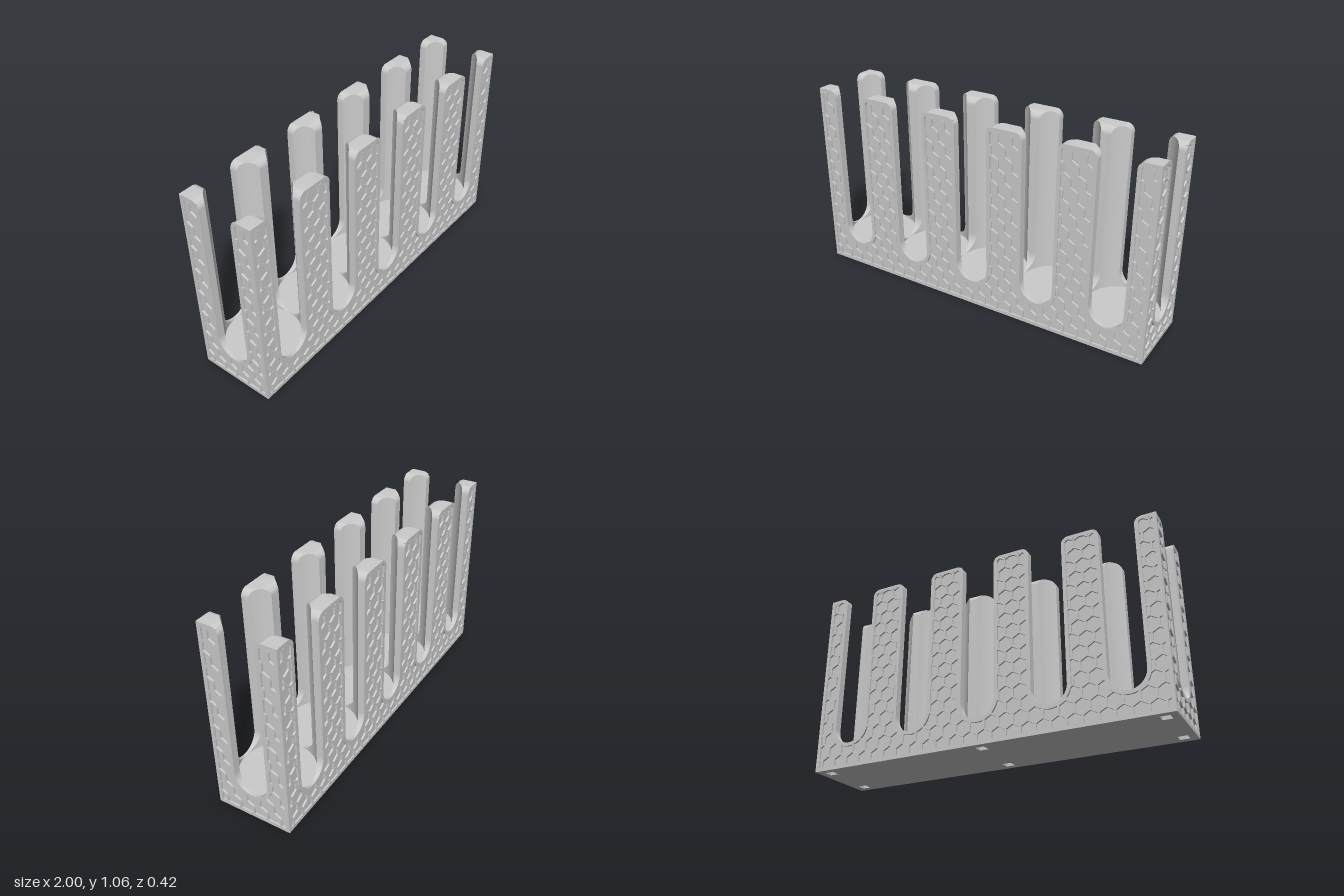
import * as THREE from 'three';
import { mergeGeometries, toCreasedNormals } from 'three/addons/utils/BufferGeometryUtils.js';

const TOP = 1.06, FLOOR = 0.14, HALF_X = 1, HALF_Z = 0.21;
const BORE = 0.195, PITCH = 0.395, SLOT = 0.095, SLOT_Y = FLOOR + SLOT, ROUND = 0.04;
const RELIEF = 0.01, FRAME = 0.02, HEX = 0.08, RIB = 0.01;
const centres = [-2, -1, 0, 1, 2].map((i) => i * PITCH);
const material = new THREE.MeshStandardMaterial({ color: 0xcccccc });

function add(parent, name, geometry) {
  const mesh = new THREE.Mesh(geometry, material);
  mesh.name = name;
  parent.add(mesh);
  return mesh;
}

// Slot half width at each height: round bottom, straight sides, rounded mouth
function slotLevels() {
  const levels = [];
  for (let i = 0; i <= 12; i++) {
    const a = (i / 12) * Math.PI / 2;
    levels.push([SLOT_Y - SLOT * Math.cos(a), SLOT * Math.sin(a)]);
  }
  for (let i = 0; i <= 8; i++) {
    const a = (i / 8) * Math.PI / 2;
    levels.push([TOP - ROUND + ROUND * Math.sin(a), SLOT + ROUND - ROUND * Math.cos(a)]);
  }
  return levels;
}

// One quarter of the wall around a bore, lofted upward between the slots
function quarterPost(cx, sx, sz, isEnd) {
  const ex = isEnd ? HALF_X - 2 * PITCH - RELIEF : PITCH / 2, ez = HALF_Z - RELIEF;
  const STEPS = 18, rings = [], pos = [];
  for (const [y, w] of slotLevels()) {
    const ring = [[ex, ez], [w, ez]];
    const a0 = Math.asin(w / BORE), a1 = Math.PI / 2 - a0;
    for (let i = 0; i <= STEPS; i++) {
      const a = a0 + (a1 - a0) * i / STEPS;
      ring.push([BORE * Math.sin(a), BORE * Math.cos(a)]);
    }
    ring.push([ex, w]);
    rings.push(ring.map(([x, z]) => [cx + sx * x, y, sz * z]));
  }
  const tri = (a, b, c) => (sx * sz > 0 ? pos.push(...a, ...b, ...c) : pos.push(...a, ...c, ...b));
  const n = rings[0].length, sides = isEnd ? n : n - 1;
  for (let k = 0; k < rings.length - 1; k++) {
    for (let i = 0; i < sides; i++) {
      const j = (i + 1) % n, lo = rings[k], up = rings[k + 1];
      tri(lo[i], up[i], lo[j]);
      tri(up[i], up[j], lo[j]);
    }
  }
  const cap = rings[rings.length - 1];
  for (let i = 1; i < n - 1; i++) tri(cap[0], cap[i + 1], cap[i]);
  const g = new THREE.BufferGeometry();
  g.setAttribute('position', new THREE.Float32BufferAttribute(pos, 3));
  return toCreasedNormals(g, 0.5);
}

// Comb outline of a face, moved inward by an inset
function outline(path, halfW, slots, inset) {
  const w = halfW - inset, t = TOP - inset;
  path.moveTo(-w, inset);
  path.lineTo(w, inset);
  path.lineTo(w, t);
  for (const c of [...slots].reverse()) {
    path.absarc(c + SLOT + ROUND, TOP - ROUND, ROUND - inset, Math.PI / 2, Math.PI, false);
    path.absarc(c, SLOT_Y, SLOT + inset, 0, Math.PI, true);
    path.absarc(c - SLOT - ROUND, TOP - ROUND, ROUND - inset, 0, Math.PI / 2, false);
  }
  path.lineTo(-w, t);
  path.closePath();
  return path;
}

function insideFace(x, y, halfW, slots, m) {
  if (Math.abs(x) > halfW - m || y < m || y > TOP - m) return false;
  return slots.every((c) => Math.hypot(x - c, Math.min(0, y - SLOT_Y)) > SLOT + m);
}

// Honeycomb ribs, each trimmed to end under the border
function honeycomb(halfW, slots) {
  const ribs = [], R = HEX / Math.sqrt(3), N = 16;
  const cols = Math.ceil(halfW / HEX) + 1;
  for (let row = -1; row < 17; row++) {
    const cy = 0.037 + row * R * 1.5;
    for (let col = -cols; col <= cols; col++) {
      const cx = (col + (row % 2 === 0 ? 0.5 : 0)) * HEX;
      for (const deg of [-30, 30, 90]) {
        const a = THREE.MathUtils.degToRad(deg), b = a + Math.PI / 3;
        const p = new THREE.Vector2(cx + R * Math.cos(a), cy + R * Math.sin(a));
        const q = new THREE.Vector2(cx + R * Math.cos(b), cy + R * Math.sin(b));
        const kept = [];
        for (let i = 0; i <= N; i++) {
          const s = p.clone().lerp(q, i / N);
          if (insideFace(s.x, s.y, halfW, slots, 0.012)) kept.push(s);
        }
        if (kept.length < 2) continue;
        const s = kept[0], e = kept[kept.length - 1];
        const g = new THREE.BoxGeometry(s.distanceTo(e) + RIB * 0.5, RIB, RELIEF);
        g.rotateZ(Math.atan2(e.y - s.y, e.x - s.x));
        g.translate((s.x + e.x) / 2, (s.y + e.y) / 2, RELIEF / 2);
        ribs.push(g);
      }
    }
  }
  return mergeGeometries(ribs);
}

// Raised border and honeycomb for one outer face
function facePanel(name, halfW, slots, distance, angle) {
  const panel = new THREE.Group();
  panel.name = name;
  const border = outline(new THREE.Shape(), halfW, slots, 0);
  border.holes.push(outline(new THREE.Path(), halfW, slots, FRAME));
  add(panel, 'border', new THREE.ExtrudeGeometry(border, { depth: RELIEF, bevelEnabled: false, curveSegments: 16 }));
  add(panel, 'honeycombRibs', honeycomb(halfW, slots));
  panel.rotation.y = angle;
  panel.translateZ(distance);
  return panel;
}

export function createModel() {
  const model = new THREE.Group();
  model.name = 'slottedHolder';
  const bx = HALF_X - RELIEF, bz = HALF_Z - RELIEF, pocketDepth = 0.02;

  // Underside plate with six small square pockets
  const plate = new THREE.Shape([[-bx, -bz], [bx, -bz], [bx, bz], [-bx, bz]].map((p) => new THREE.Vector2(...p)));
  for (const x of [-0.935, 0, 0.935]) {
    for (const z of [-0.15, 0.15]) {
      const h = 0.025;
      plate.holes.push(new THREE.Path([[-h, -h], [-h, h], [h, h], [h, -h]].map(([u, v]) => new THREE.Vector2(x + u, z + v))));
    }
  }
  const plateGeometry = new THREE.ExtrudeGeometry(plate, { depth: pocketDepth, bevelEnabled: false });
  plateGeometry.rotateX(-Math.PI / 2);
  add(model, 'undersidePlate', plateGeometry);

  // Solid base whose top is the floor of the bores
  const base = add(model, 'base', new THREE.BoxGeometry(2 * bx, FLOOR - pocketDepth, 2 * bz));
  base.position.y = (FLOOR + pocketDepth) / 2;

  // Posts around the five bores
  const posts = new THREE.Group();
  posts.name = 'posts';
  model.add(posts);
  centres.forEach((c, i) => {
    for (const sx of [-1, 1]) {
      for (const sz of [-1, 1]) {
        const isEnd = (i === 0 && sx < 0) || (i === centres.length - 1 && sx > 0);
        add(posts, isEnd ? 'cornerPost' : 'halfPost', quarterPost(c, sx, sz, isEnd));
      }
    }
  });

  // Patterned faces
  model.add(
    facePanel('frontPanel', HALF_X, centres, bz, 0),
    facePanel('backPanel', HALF_X, centres, bz, Math.PI),
    facePanel('leftPanel', HALF_Z, [0], bx, Math.PI / 2),
    facePanel('rightPanel', HALF_Z, [0], bx, -Math.PI / 2),
  );
  return model;
}
